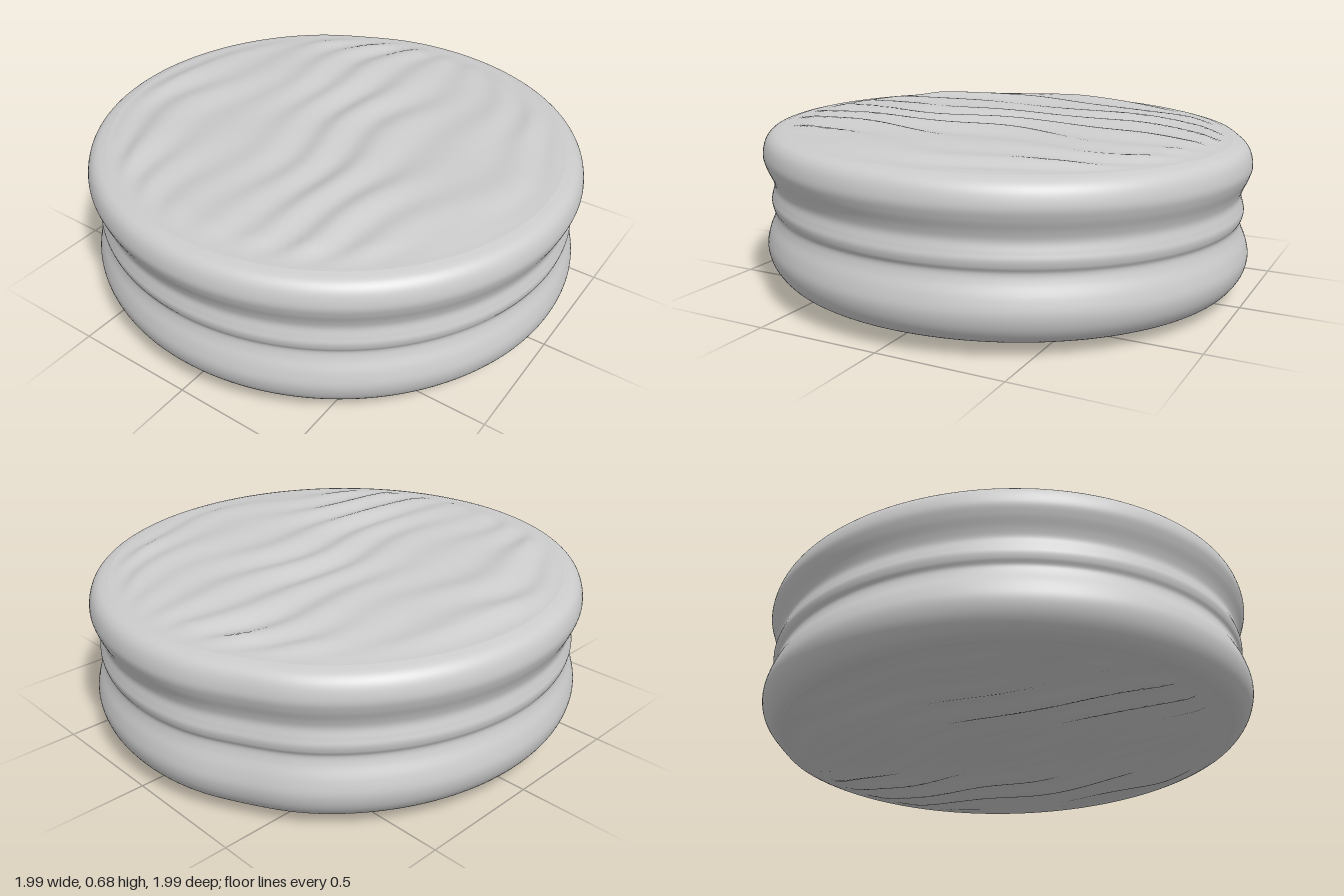
import * as THREE from 'three';
import { mergeVertices } from 'three/addons/utils/BufferGeometryUtils.js';

const RIM = 0.915, TILT = -0.022, SEGMENTS = 180;

// Fold height: ridges run along x, bow outwards and gather at the two pinch points on the rim
function wrinkle(x, z, seed) {
  const r = Math.hypot(x, z) / RIM;
  const lens = Math.sqrt(Math.max(0.12, 1 - 0.72 * (x / RIM) ** 2));
  const t = z / lens + 0.035 * Math.sin(4.3 * x + 5 * z + seed) + 0.02 * Math.sin(9 * x - 4 * z + seed * 2);
  const strength = 0.65 + 0.35 * Math.sin(3.1 * x + 6.3 * z + seed * 1.7);
  const folds = 0.011 * strength * Math.cos((2 * Math.PI * (t - 0.05)) / 0.215);
  const lumps = 0.004 * Math.sin(7 * x + 3 * z + seed) * Math.sin(11 * z - 2 * x);
  const fade = 1 - THREE.MathUtils.smoothstep(r, 0.86, 1);
  const swell = 0.025 * (1 - THREE.MathUtils.smoothstep(r, 0.55, 1) * 0.5);
  return (swell + folds + lumps) * fade;
}

// Revolve a profile, then move every vertex by a rule and weld the seam
function revolve(name, points, rule) {
  let geo = new THREE.LatheGeometry(points, SEGMENTS);
  const p = geo.attributes.position;
  for (let i = 0; i < p.count; i++) {
    const x = p.getX(i), y = p.getY(i), z = p.getZ(i);
    // slight flattening of the wall towards the back left
    const away = Math.atan2(z, x) + 0.46;
    const dent = 1 - 0.014 * Math.exp(-((away / 0.17) ** 2)) * Math.hypot(x, z) ** 4;
    p.setXYZ(i, x * dent, y + rule(x, z) + TILT * x, z * dent);
  }
  geo.deleteAttribute('normal');
  geo.deleteAttribute('uv');
  geo = mergeVertices(geo, 1e-5);
  geo.computeVertexNormals();
  const mesh = new THREE.Mesh(geo, new THREE.MeshStandardMaterial({ color: 0xcccccc, side: THREE.DoubleSide }));
  mesh.name = name;
  return mesh;
}

export function createModel() {
  const model = new THREE.Group();
  model.name = 'wrinkledDisc';

  // Side wall: two fat rings with a thin ridge between them
  const profile = [
    [RIM, 0.066], [0.95, 0.085], [0.983, 0.13], [0.996, 0.185], [0.985, 0.24], [0.964, 0.29],
    [0.957, 0.322], [0.967, 0.345], [0.971, 0.37], [0.965, 0.395], [0.957, 0.43], [0.966, 0.465],
    [0.986, 0.51], [0.996, 0.552], [0.984, 0.602], [0.957, 0.632], [RIM, 0.645],
  ].map(([r, y]) => new THREE.Vector2(r, y));
  model.add(revolve('sideWall', new THREE.SplineCurve(profile).getPoints(90), () => 0));

  // Gathered skins closing the top and the bottom
  const rings = 70;
  const radii = Array.from({ length: rings + 1 }, (_, i) => (RIM * i) / rings);
  const bottom = radii.map((r) => new THREE.Vector2(r, 0.066));
  const top = radii.map((r) => new THREE.Vector2(r, 0.645)).reverse();
  model.add(revolve('topSkin', top, (x, z) => wrinkle(x, z, 0.6)));
  model.add(revolve('bottomSkin', bottom, (x, z) => -1.2 * wrinkle(x, z, 2.9)));

  // Rest the lowest fold on the ground
  const box = new THREE.Box3().setFromObject(model, true);
  model.position.y = -box.min.y;
  return model;
}
